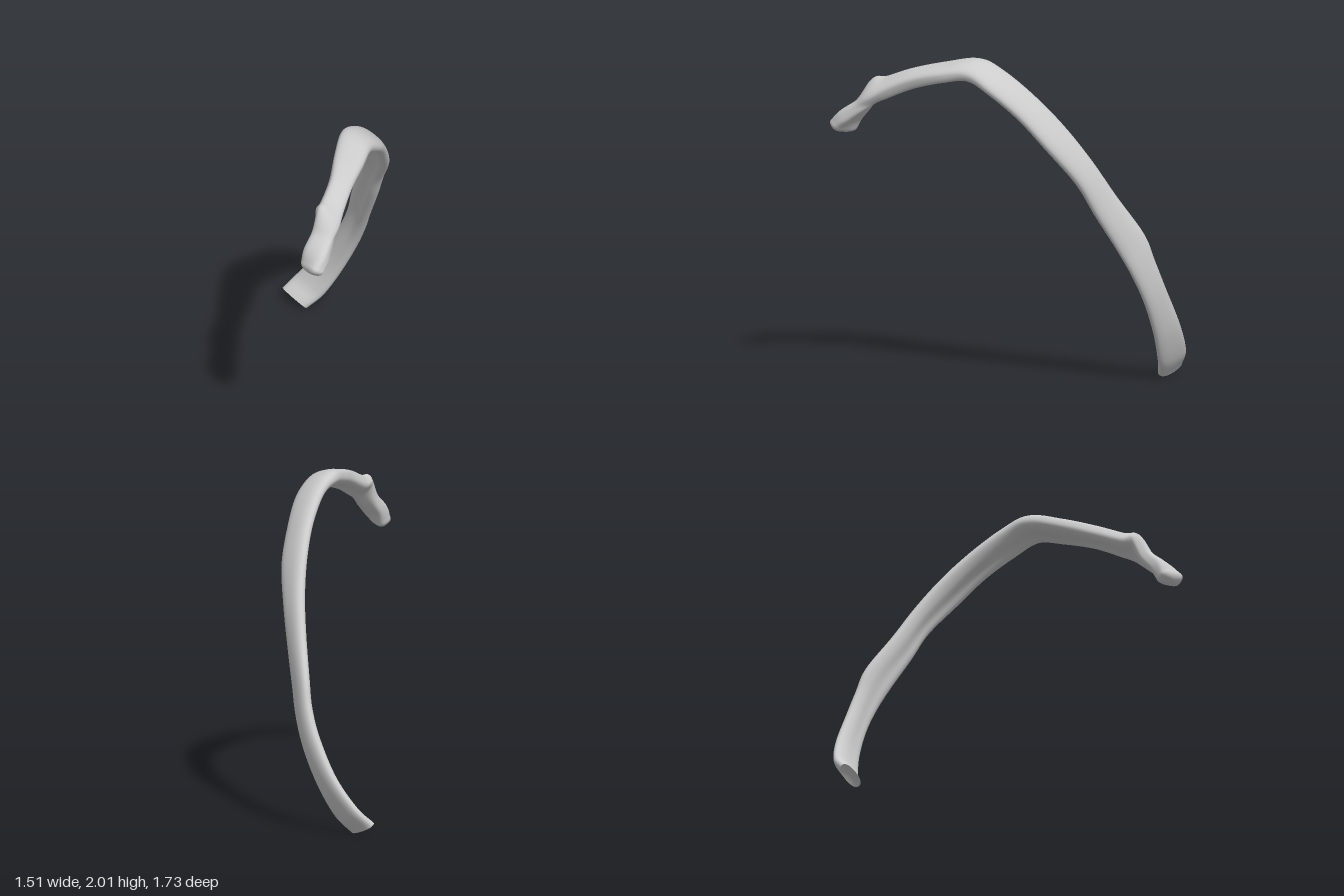
import * as THREE from 'three';

// Stations along the bone: upper edge xyz, lower edge xyz, half thickness
const STATIONS = [
  [[0.515, 0.09, -0.86], [0.535, 0.025, -0.67], 0.038],
  [[0.605, 0.185, -0.815], [0.61, 0.125, -0.60], 0.036],
  [[0.685, 0.37, -0.695], [0.67, 0.30, -0.515], 0.037],
  [[0.715, 0.60, -0.56], [0.70, 0.50, -0.42], 0.039],
  [[0.715, 0.78, -0.475], [0.69, 0.68, -0.33], 0.039],
  [[0.69, 0.95, -0.41], [0.65, 0.86, -0.235], 0.04],
  [[0.605, 1.19, -0.26], [0.595, 1.085, -0.105], 0.042],
  [[0.52, 1.41, -0.135], [0.55, 1.28, 0.0], 0.043],
  [[0.41, 1.615, -0.015], [0.455, 1.50, 0.16], 0.043],
  [[0.28, 1.79, 0.10], [0.33, 1.69, 0.28], 0.043],
  [[0.12, 1.935, 0.205], [0.19, 1.84, 0.395], 0.045],
  [[-0.02, 1.99, 0.265], [0.05, 1.925, 0.46], 0.052],
  [[-0.18, 1.96, 0.385], [-0.09, 1.91, 0.545], 0.05],
  [[-0.34, 1.915, 0.52], [-0.26, 1.86, 0.63], 0.05],
  [[-0.48, 1.86, 0.60], [-0.41, 1.785, 0.715], 0.05],
  [[-0.55, 1.855, 0.64], [-0.50, 1.725, 0.765], 0.048],
  [[-0.60, 1.725, 0.66], [-0.57, 1.685, 0.805], 0.046],
  [[-0.67, 1.635, 0.675], [-0.655, 1.63, 0.85], 0.052],
  [[-0.695, 1.56, 0.69], [-0.72, 1.585, 0.865], 0.05],
];
const RINGS = 180;
const SIDES = 32;
const DOME = 8;

function makeCurve(points) {
  return new THREE.CatmullRomCurve3(points, false, 'catmullrom', 0.5);
}

function ribGeometry() {
  const upper = makeCurve(STATIONS.map(s => new THREE.Vector3(...s[0])));
  const lower = makeCurve(STATIONS.map(s => new THREE.Vector3(...s[1])));
  const thick = makeCurve(STATIONS.map(s => new THREE.Vector3(s[2], 0, 0)));
  const middle = u => upper.getPoint(u).add(lower.getPoint(u)).multiplyScalar(0.5);
  const pos = [], index = [];
  const softPower = (v, e) => Math.sign(v) * Math.abs(v) ** e;

  // Flattened oval across the bone, boxier at the neck, grooved on its inner face
  function addRing(u, scale, push) {
    const c = middle(u);
    const along = middle(Math.min(1, u + 0.02)).sub(middle(Math.max(0, u - 0.02))).normalize();
    const across = upper.getPoint(u).sub(lower.getPoint(u)).multiplyScalar(0.5);
    const out = across.clone().cross(along).normalize();
    const t = thick.getPoint(u).x;
    const groove = 0.35 * Math.sin(Math.PI * u);
    const e = 0.85 - 0.2 * THREE.MathUtils.smoothstep(u, 0.55, 0.75);
    c.addScaledVector(along, push);
    for (let j = 0; j < SIDES; j++) {
      const a = (j / SIDES) * Math.PI * 2;
      const x = softPower(Math.cos(a), e);
      let y = softPower(Math.sin(a), e);
      if (y < 0) y *= 1 - groove * Math.exp(-(((x + 0.25) / 0.35) ** 2));
      const p = c.clone().addScaledVector(across, x * scale).addScaledVector(out, y * t * scale);
      pos.push(p.x, p.y, p.z);
    }
    return { c, along };
  }

  // Shaft, then the rounded head
  for (let i = 0; i <= RINGS; i++) addRing(i / RINGS, 1, 0);
  let tip;
  for (let k = 1; k <= DOME; k++) {
    const a = (k / (DOME + 0.3)) * Math.PI / 2;
    tip = addRing(1, Math.cos(a), 0.045 * Math.sin(a));
  }
  const total = RINGS + DOME;
  for (let i = 0; i < total; i++) {
    for (let j = 0; j < SIDES; j++) {
      const k = (j + 1) % SIDES;
      const a = i * SIDES + j, b = i * SIDES + k;
      index.push(a, a + SIDES, b, b, a + SIDES, b + SIDES);
    }
  }
  const tipIndex = pos.length / 3;
  pos.push(tip.c.x, tip.c.y, tip.c.z);
  for (let j = 0; j < SIDES; j++) {
    index.push(total * SIDES + j, tipIndex, total * SIDES + (j + 1) % SIDES);
  }

  // Slightly hollow cut end, with its own corners for a crisp rim
  const first = pos.length / 3;
  const end = addRing(0, 1, 0);
  end.c.addScaledVector(end.along, 0.015);
  const centre = pos.length / 3;
  pos.push(end.c.x, end.c.y, end.c.z);
  for (let j = 0; j < SIDES; j++) index.push(centre, first + j, first + (j + 1) % SIDES);

  const g = new THREE.BufferGeometry();
  g.setAttribute('position', new THREE.Float32BufferAttribute(pos, 3));
  g.setIndex(index);
  g.computeVertexNormals();
  // Stand on the ground
  g.computeBoundingBox();
  g.translate(0, -g.boundingBox.min.y, 0);
  return g;
}

export function createModel() {
  const group = new THREE.Group();
  group.name = 'rib';
  const bone = new THREE.Mesh(ribGeometry(), new THREE.MeshStandardMaterial({ color: 0xcccccc }));
  bone.name = 'ribBone';
  group.add(bone);
  return group;
}
